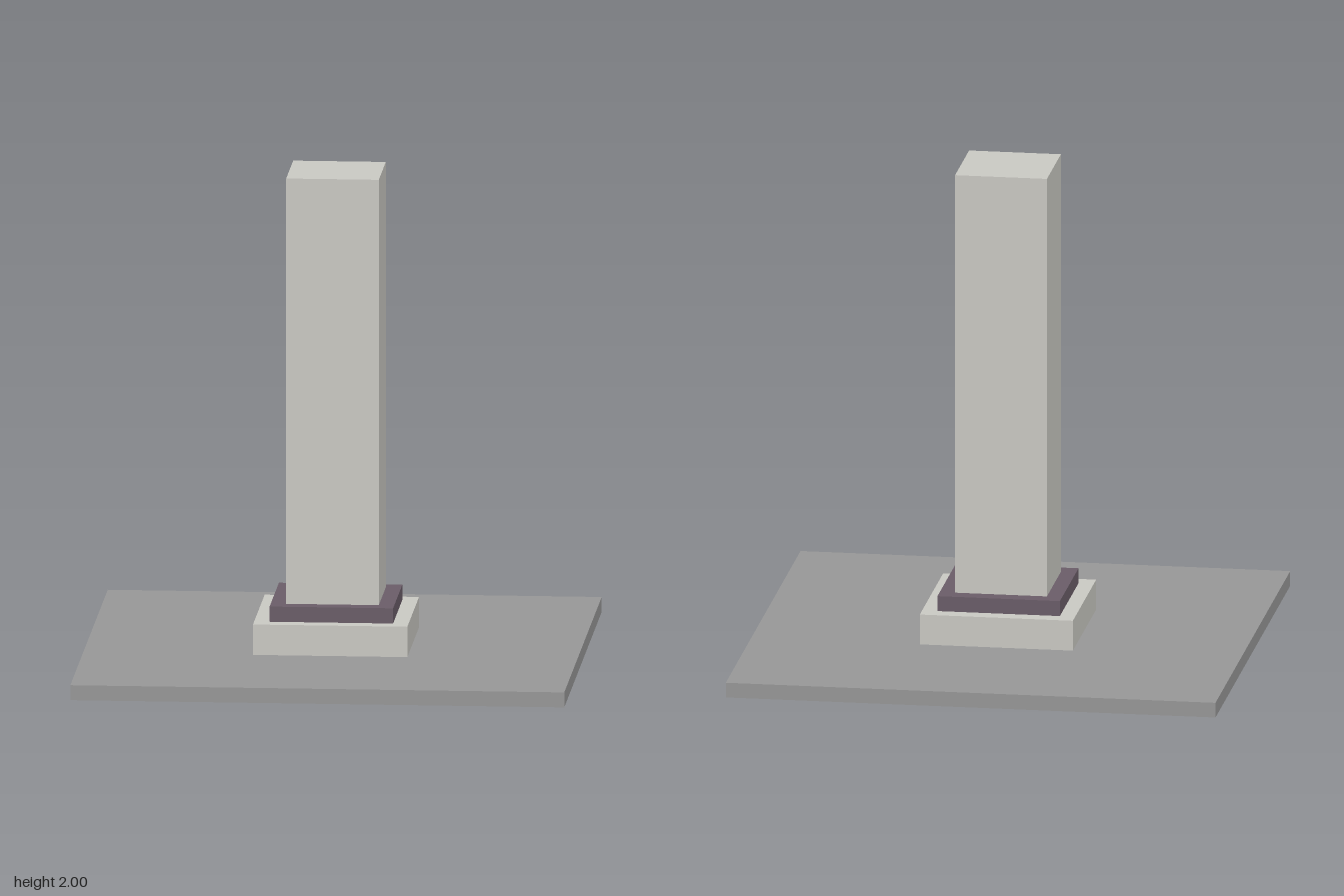
import * as THREE from 'three';

const U = 1 / 16; // block unit

export function createModel() {
  const group = new THREE.Group();
  const material = (name, color) => new THREE.MeshStandardMaterial({ name, color });
  const slabGrey = material('slab grey', 0x979797);
  const paleStone = material('pale stone', 0xcac9c3);
  const dullPurple = material('dull purple', 0x6a5d68);

  // Square block standing between two heights
  const block = (name, width, bottom, top, mat) => {
    const mesh = new THREE.Mesh(new THREE.BoxGeometry(width, top - bottom, width), mat);
    mesh.name = name;
    mesh.position.y = (bottom + top) / 2;
    group.add(mesh);
  };

  block('baseSlab', 2, 0.001, U, slabGrey);
  block('plinth', 10 * U, U, 3 * U, paleStone);
  block('collar', 8 * U, 3 * U, 4 * U, dullPurple);
  block('pillar', 6 * U, 4 * U, 2, paleStone);

  // Flat panel with clipped corners on the underside of the slab
  const h = 5 * U, k = h - 0.045;
  const outline = new THREE.Shape([
    [h, -k], [h, k], [k, h], [-k, h], [-h, k], [-h, -k], [-k, -h], [k, -h],
  ].map(([x, y]) => new THREE.Vector2(x, y)));
  const panel = new THREE.Mesh(new THREE.ShapeGeometry(outline), dullPurple);
  panel.name = 'undersidePanel';
  panel.rotation.x = Math.PI / 2;
  group.add(panel);

  return group;
}
